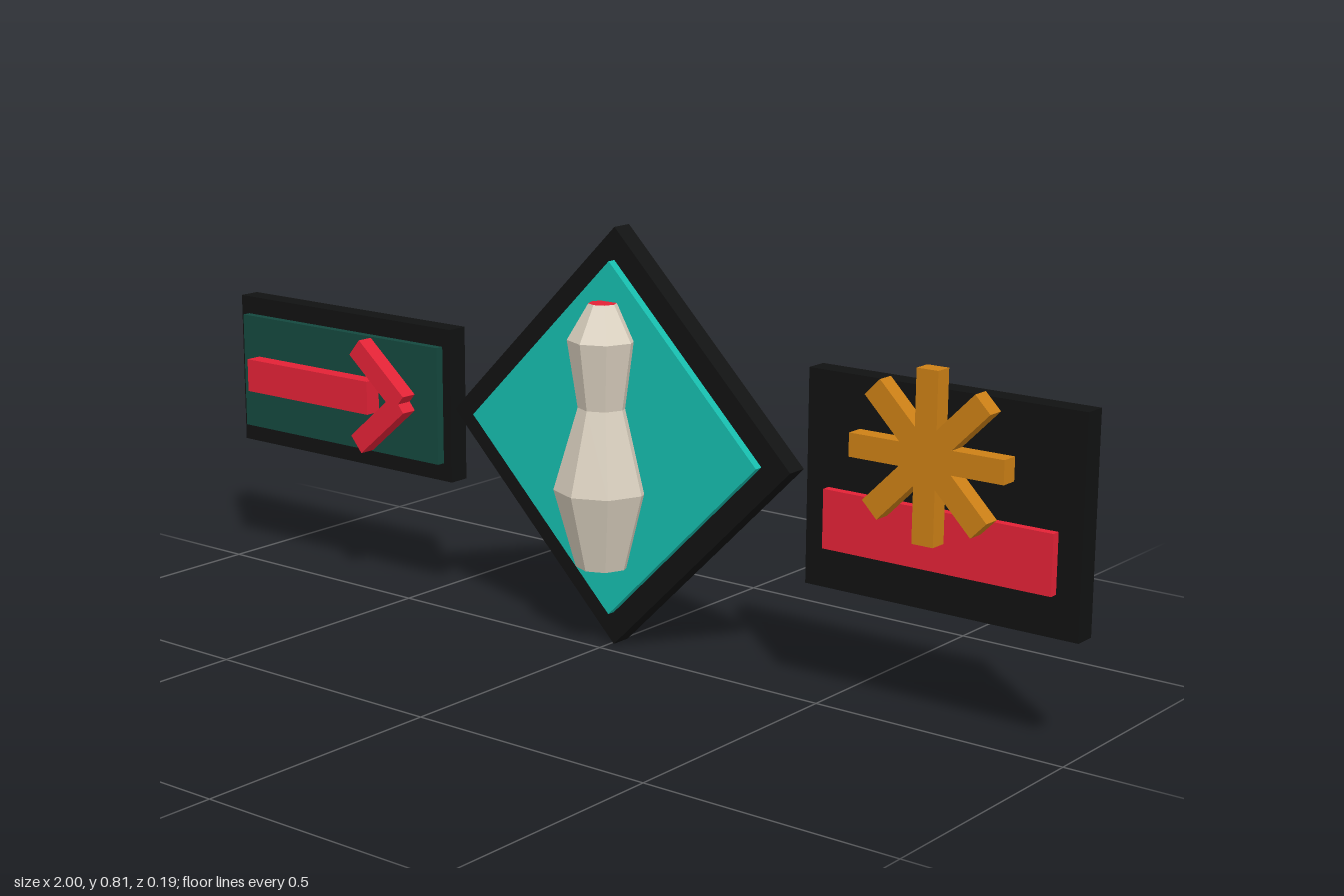
import * as THREE from 'three';

const material = (color) => new THREE.MeshStandardMaterial({ color, flatShading: true });
const black = material(0x111212);
const teal = material(0x16bdae);
const green = material(0x14483e);
const red = material(0xe32236);
const amber = material(0xcc8016);
const cream = material(0xd8cebd);

// Depth layers, as [back, front]
const BOARD = [-0.077, -0.034], PANEL = [-0.034, -0.017], RELIEF = [-0.017, 0.017];

function slab(name, mat, x, y, w, h, [back, front], angle = 0) {
  const mesh = new THREE.Mesh(new THREE.BoxGeometry(w, h, front - back), mat);
  mesh.position.set(x, y, (back + front) / 2);
  mesh.rotation.z = angle;
  mesh.name = name;
  return mesh;
}

function group(name, ...parts) {
  const g = new THREE.Group();
  g.name = name;
  return g.add(...parts);
}

export function createModel() {
  // Sign with an arrow
  const arrowSign = group('arrowSign',
    slab('arrowBoard', black, -0.704, 0.406, 0.592, 0.31, BOARD),
    slab('arrowPanel', green, -0.704, 0.406, 0.55, 0.237, PANEL),
    slab('arrowShaft', red, -0.762, 0.406, 0.345, 0.068, RELIEF));
  for (const side of [1, -1]) {
    arrowSign.add(slab('arrowHeadBar', red, -0.563, 0.406 + side * 0.05, 0.155, 0.043, RELIEF, -side * 0.7));
  }

  // Diamond sign
  const cx = 0.007;
  const diamondSign = group('diamondSign',
    slab('diamondBoard', black, cx, 0.404, 0.571, 0.571, BOARD, Math.PI / 4),
    slab('diamondPanel', teal, cx, 0.405, 0.482, 0.482, PANEL, Math.PI / 4));

  // Faceted bottle passing through the diamond, with a red top
  const profile = [[0, 0.165], [0.051, 0.165], [0.093, 0.316], [0.047, 0.473], [0.067, 0.602], [0.027, 0.67]]
    .map(([r, y]) => new THREE.Vector2(r, y));
  const bottle = new THREE.Mesh(new THREE.LatheGeometry(profile, 8), cream);
  bottle.name = 'bottle';
  bottle.position.x = cx;
  const cap = new THREE.Mesh(new THREE.CircleGeometry(0.027, 8), red);
  cap.name = 'bottleTop';
  cap.rotation.x = -Math.PI / 2;
  cap.position.set(cx, 0.67, 0);
  diamondSign.add(bottle, cap);

  // Sign with an eight-pointed star
  const starSign = group('starSign',
    slab('starBoard', black, 0.724, 0.406, 0.552, 0.396, BOARD),
    slab('starPanel', red, 0.724, 0.339, 0.46, 0.109, PANEL));
  for (let i = 0; i < 4; i++) {
    starSign.add(slab('starBar', amber, 0.722, 0.492, 0.308, 0.043, RELIEF, i * Math.PI / 4));
  }

  return group('signs', arrowSign, diamondSign, starSign);
}
